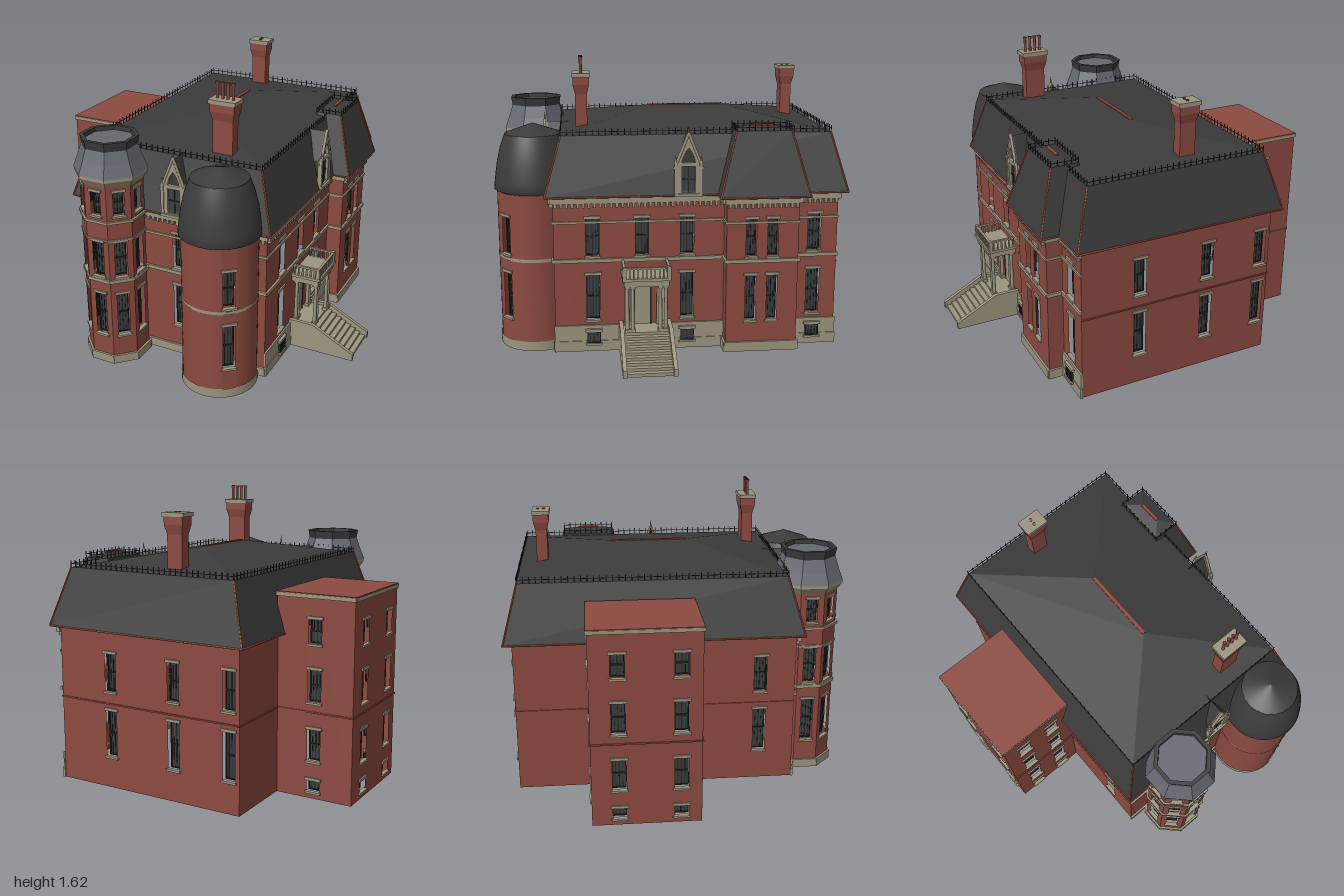
import * as THREE from 'three';
import { mergeGeometries } from 'three/addons/utils/BufferGeometryUtils.js';

const mat = (name, color, side = THREE.DoubleSide) => {
  const m = new THREE.MeshStandardMaterial({ color, side });
  m.name = name;
  return m;
};
const M = {
  brick: mat('brick', 0x8c4a40), stone: mat('stone', 0x9c957f), roof: mat('roof', 0x3b3b3b),
  slate: mat('slate', 0x666971), trim: mat('red trim', 0x9c4636), glass: mat('glass', 0x3c4041),
  frame: mat('dark frame', 0x242424),
};
const PI = Math.PI;

function add(parent, name, geo, material, x = 0, y = 0, z = 0) {
  const m = new THREE.Mesh(geo, material);
  m.name = name;
  m.position.set(x, y, z);
  parent.add(m);
  return m;
}
function group(parent, name, x = 0, y = 0, z = 0, ry = 0) {
  const g = new THREE.Group();
  g.name = name;
  g.position.set(x, y, z);
  g.rotation.y = ry;
  parent.add(g);
  return g;
}
// Many boxes in one mesh, each [cx, cy, cz, w, h, d]
function boxes(parent, name, material, list) {
  const geos = list.map(([x, y, z, w, h, d]) => new THREE.BoxGeometry(w, h, d).translate(x, y, z));
  return add(parent, name, mergeGeometries(geos), material);
}
// Flat-shaded skin over stacked closed loops of points
function loft(loops, cap = true) {
  const pos = [];
  const tri = (...p) => p.forEach(v => pos.push(...v));
  const n = loops[0].length;
  for (let k = 0; k + 1 < loops.length; k++)
    for (let i = 0; i < n; i++) {
      const j = (i + 1) % n, a = loops[k], b = loops[k + 1];
      tri(a[i], a[j], b[j]);
      tri(a[i], b[j], b[i]);
    }
  const t = loops[loops.length - 1];
  if (cap) for (let i = 1; i + 1 < n; i++) tri(t[0], t[i], t[i + 1]);
  const g = new THREE.BufferGeometry();
  g.setAttribute('position', new THREE.Float32BufferAttribute(pos, 3));
  g.computeVertexNormals();
  return g;
}
const rect = (x0, x1, z0, z1, y) => [[x0, y, z1], [x1, y, z1], [x1, y, z0], [x0, y, z0]];
const octagon = (apothem, y) => Array.from({ length: 8 }, (_, i) => {
  const a = (i + 0.5) * PI / 4, r = apothem / Math.cos(PI / 8);
  return [r * Math.sin(a), y, r * Math.cos(a)];
});
// Thin rod between two points
function bar(parent, name, a, b, r, material) {
  const p = new THREE.Vector3(...a), q = new THREE.Vector3(...b);
  add(parent, name, new THREE.TubeGeometry(new THREE.LineCurve3(p, q), 1, r, 5), material);
}

// Sash window at local x, from y0 to y1, with its pane at depth z
function addWindow(g, x, y0, y1, w, z = -0.03) {
  const h = y1 - y0, y = (y0 + y1) / 2, t = 0.006;
  const win = group(g, 'window', x, 0, 0);
  add(win, 'pane', new THREE.PlaneGeometry(w, h), M.glass, 0, y, z);
  const bars = [[0, y, z, t, h, t]];
  for (const s of [-1, 1]) {
    bars.push([s * (w - t) / 2, y, z, t, h, 0.012], [0, y + s * (h - t) / 2, z, w, t, 0.012]);
    bars.push([s * w * 0.25, y, z, 0.003, h, t]);
  }
  if (h > 0.1) bars.push([0, y, z, w, 0.009, 0.012]);
  boxes(win, 'sash', M.frame, bars);
  const f = Math.max(z, 0);
  boxes(win, 'sillAndLintel', M.stone,
    [[0, y0 - 0.006, f, w + 0.018, 0.012, 0.024], [0, y1 + 0.008, f, w + 0.02, 0.016, 0.016]]);
}
// Wall of width w standing on the ground: windows [x, y0, y1, w, proud], bands [y0, y1, thickness, material]
function wall(parent, name, w, h, x, z, ry, windows = [], bands = [], dentils = false) {
  const g = group(parent, name, x, 0, z, ry);
  const s = new THREE.Shape([[-w / 2, 0], [w / 2, 0], [w / 2, h], [-w / 2, h]].map(p => new THREE.Vector2(...p)));
  for (const [cx, y0, y1, ww, proud] of windows) {
    if (!proud) s.holes.push(new THREE.Path(
      [[cx - ww / 2, y0], [cx - ww / 2, y1], [cx + ww / 2, y1], [cx + ww / 2, y0]].map(p => new THREE.Vector2(...p))));
    addWindow(g, cx, y0, y1, ww, proud ? 0.018 : -0.03);
  }
  add(g, 'wallFace', new THREE.ShapeGeometry(s), M.brick);
  for (const [y0, y1, t, m] of bands)
    add(g, 'band', new THREE.BoxGeometry(w + t, y1 - y0, t), m || M.stone, 0, (y0 + y1) / 2, t / 2);
  if (dentils) {
    const n = Math.max(2, Math.round(w / 0.03));
    boxes(g, 'dentils', M.stone, Array.from({ length: n }, (_, i) => [(i + 0.5) / n * w - w / 2, 0.838, 0.01, 0.014, 0.025, 0.02]));
  }
  return g;
}
const LOW = [0.18, 0.44], UP = [0.55, 0.76];
const floors = (x, w) => [[x, ...LOW, w], [x, ...UP, w]];
const LINE = [[0.476, 0.484, 0.006, M.brick]];
const STRINGS = [[0.515, 0.535, 0.012], [0.735, 0.748, 0.008], [0.85, 0.88, 0.025]];
const PLINTH = [[0, 0.15, 0.01], [0, 0.06, 0.015]];

function buildHouse(root) {
  const g = group(root, 'mainHouse');
  wall(g, 'frontWall', 1.15, 0.88, 0.025, 0.65, 0, floors(0.045, 0.073), [[0, 0.05, 0.012], ...STRINGS], true);
  wall(g, 'backWall', 1.15, 0.88, 0.025, -0.93, PI,
    [-0.235, 0.175, 0.515].flatMap(x => floors(x, 0.07)), LINE);
  wall(g, 'leftFrontWall', 0.58, 0.88, -0.55, 0.36, -PI / 2, floors(0.09, 0.07), LINE);
  wall(g, 'leftBackWall', 0.41, 0.88, -0.55, -0.725, -PI / 2, [], LINE);
  const door = wall(g, 'entranceWall', 0.94, 0.88, 0.6, 0.18, PI / 2,
    [...floors(-0.257, 0.073), ...floors(0.265, 0.073), [0.015, ...UP, 0.073], [0.015, 0.385, 0.42, 0.09],
      [-0.257, 0.05, 0.115, 0.075, true], [0.265, 0.05, 0.115, 0.075, true]], [...PLINTH, ...STRINGS], true);
  boxes(door, 'door', M.stone, [[0.015, 0.265, 0.004, 0.085, 0.23, 0.008]]);
  boxes(door, 'doorFrame', M.frame, [-1, 1].map(s => [0.015 + s * 0.046, 0.275, 0.006, 0.007, 0.25, 0.012]));
  wall(g, 'rearRightWall', 0.24, 0.88, 0.6, -0.81, PI / 2,
    [...floors(-0.01, 0.073), [-0.01, 0.05, 0.115, 0.075, true]], [...PLINTH, ...STRINGS], true);
  // Projecting pavilion
  const pb = [[0, 0.055, 0.012], ...STRINGS];
  wall(g, 'pavilionWall', 0.4, 0.88, 0.69, -0.49, PI / 2, [...floors(-0.063, 0.058), ...floors(0.057, 0.058)], pb, true);
  wall(g, 'pavilionFrontSide', 0.09, 0.88, 0.645, -0.29, 0, [], pb);
  wall(g, 'pavilionBackSide', 0.09, 0.88, 0.645, -0.69, PI, [], pb);
}

function buildWing(root) {
  const g = group(root, 'sideWing');
  const col = x => [[x, 0.04, 0.1, 0.075], [x, 0.21, 0.385, 0.075], [x, 0.535, 0.71, 0.075], [x, 0.85, 0.98, 0.075]];
  const bands = [[1.09, 1.11, 0.008], ...LINE];
  wall(g, 'wingFront', 0.445, 1.11, -0.7675, 0.07, 0, [...col(-0.0975), ...col(0.0975)], bands);
  wall(g, 'wingBack', 0.445, 1.11, -0.7675, -0.52, PI, col(0), bands);
  wall(g, 'wingSide', 0.59, 1.11, -0.99, -0.225, -PI / 2, [...col(-0.145), ...col(0.185)], bands);
  add(g, 'wingRoof', new THREE.BoxGeometry(0.455, 0.008, 0.6), M.brick, -0.7675, 1.111, -0.225);
}

function buildRoofs(root) {
  const g = group(root, 'mansardRoof');
  const roof = (name, inner, eave, brk, ridge) => {
    add(g, name, loft([inner, eave, brk, ridge]), M.roof);
    for (let i = 0; i < 4; i++) {
      bar(g, 'hipTrim', eave[i], brk[i], 0.005, M.trim);
      bar(g, 'eaveTrim', eave[i], eave[(i + 1) % 4], 0.005, M.trim);
    }
    boxes(g, 'ridgeCap', M.trim, [[ridge[0][0], ridge[0][1], (ridge[0][2] + ridge[2][2]) / 2, 0.018, 0.008, ridge[0][2] - ridge[2][2]]]);
    // Iron cresting round the break line
    const list = [];
    for (let i = 0; i < 4; i++) {
      const a = brk[i], b = brk[(i + 1) % 4], dx = b[0] - a[0], dz = b[2] - a[2];
      const n = Math.round(Math.hypot(dx, dz) / 0.035), y = a[1];
      for (let k = 0; k < n; k++) list.push([a[0] + dx * k / n, y + 0.018, a[2] + dz * k / n, 0.004, 0.036, 0.004]);
      list.push([a[0] + dx / 2, y + 0.02, a[2] + dz / 2, Math.abs(dx) + 0.003, 0.003, Math.abs(dz) + 0.003]);
    }
    boxes(g, 'cresting', M.frame, list);
  };
  roof('mainRoof', rect(-0.55, 0.6, -0.93, 0.65, 0.878), rect(-0.592, 0.638, -0.976, 0.692, 0.888),
    rect(-0.495, 0.543, -0.89, 0.6, 1.21), rect(0.022, 0.022, -0.36, 0.08, 1.305));
  roof('pavilionRoof', rect(0.5, 0.69, -0.69, -0.29, 0.878), rect(0.48, 0.738, -0.742, -0.248, 0.888),
    rect(0.48, 0.635, -0.65, -0.345, 1.235), rect(0.56, 0.56, -0.56, -0.43, 1.26));
}

// Gothic dormer with a pointed stone gable
function buildDormer(root, x, z, ry) {
  const g = group(root, 'dormer', x, 0.885, z, ry);
  const outline = w => new THREE.Shape([[-w, 0], [w, 0], [w, 0.17], [0, 0.335], [-w, 0.17]].map(p => new THREE.Vector2(...p)));
  add(g, 'dormerBody', new THREE.ExtrudeGeometry(outline(0.06), { depth: 0.12, bevelEnabled: false }), M.roof, 0, 0, -0.13);
  const face = outline(0.066);
  face.holes.push(new THREE.Path([[-0.037, 0.02], [-0.037, 0.165], [0.037, 0.165], [0.037, 0.02]].map(p => new THREE.Vector2(...p))));
  const arch = new THREE.Path();
  arch.moveTo(-0.037, 0.185).quadraticCurveTo(-0.03, 0.23, 0, 0.265).quadraticCurveTo(0.03, 0.23, 0.037, 0.185).lineTo(-0.037, 0.185);
  face.holes.push(arch);
  add(g, 'dormerFront', new THREE.ExtrudeGeometry(face, { depth: 0.018, bevelEnabled: false }), M.stone, 0, 0, -0.01);
  add(g, 'dormerPane', new THREE.PlaneGeometry(0.074, 0.145), M.glass, 0, 0.0925, -0.006);
  boxes(g, 'dormerSash', M.frame, [[0, 0.0925, -0.004, 0.005, 0.145, 0.005], [0, 0.0925, -0.004, 0.074, 0.007, 0.005]]);
  for (const s of [-1, 1]) {
    bar(g, 'gableRake', [s * 0.078, 0.15, 0.004], [0, 0.345, 0.004], 0.009, M.stone);
    add(g, 'pinnacle', new THREE.ConeGeometry(0.011, 0.05, 6), M.stone, s * 0.07, 0.205, 0.004);
    boxes(g, 'pier', M.stone, [[s * 0.068, 0.09, 0, 0.018, 0.18, 0.026]]);
  }
  add(g, 'finial', new THREE.ConeGeometry(0.008, 0.06, 6), M.stone, 0, 0.365, 0.004);
  boxes(g, 'dormerSill', M.stone, [[0, 0.008, 0.004, 0.155, 0.016, 0.03]]);
}

function buildOctagonTower(root) {
  const g = group(root, 'octagonTower', -0.284, 0, 0.755);
  const ap = 0.163, w = 2 * ap * Math.tan(PI / 8);
  for (let k = 0; k < 8; k++) {
    const a = k * PI / 4, open = k < 3 || k > 5;
    wall(g, 'towerFace', w, 1.12, ap * Math.sin(a), ap * Math.cos(a), a,
      open ? [...floors(0, 0.068), [0, 0.92, 1.055, 0.06]] : [],
      [[0, 0.05, 0.012], [0.515, 0.535, 0.01], [0.77, 0.78, 0.006], [0.875, 0.89, 0.012]]);
  }
  add(g, 'towerCornice', loft([octagon(0.165, 1.09), octagon(0.188, 1.125), octagon(0.188, 1.142)]), M.stone);
  add(g, 'towerRoof', loft([octagon(0.19, 1.142), octagon(0.165, 1.21), octagon(0.143, 1.28)], false), M.slate);
  add(g, 'towerRim', loft([octagon(0.141, 1.275), octagon(0.15, 1.328), octagon(0.128, 1.328), octagon(0.126, 1.3)], false), M.roof);
  add(g, 'towerTop', loft([octagon(0.128, 1.3), octagon(0.127, 1.304)]), M.slate);
}

function buildRoundTower(root) {
  const g = group(root, 'roundTower', 0.375, 0, 0.752);
  const r = 0.207, a = 0.7, half = 0.2;
  const ring = (name, rad, y0, y1, m, gap) => add(g, name,
    new THREE.CylinderGeometry(rad, rad, y1 - y0, 48, 1, true, a + gap, 2 * PI - 2 * gap), m, 0, (y0 + y1) / 2, 0);
  ring('towerWall', r, 0, 0.9, M.brick, half);
  // Flat bay holding the windows
  const d = r * Math.cos(half);
  wall(g, 'windowBay', 2 * r * Math.sin(half), 0.9, d * Math.sin(a), d * Math.cos(a), a, floors(0, 0.066));
  ring('towerBase', r + 0.006, 0, 0.055, M.stone, 0);
  ring('towerBand', r + 0.004, 0.515, 0.533, M.stone, 0);
  const pts = [[0.205, 0.89], [0.222, 0.9], [0.217, 0.95], [0.204, 1.04], [0.183, 1.13], [0.155, 1.205]].map(p => new THREE.Vector2(...p));
  add(g, 'bellRoof', new THREE.LatheGeometry(pts, 48), M.roof);
  add(g, 'roofCone', new THREE.ConeGeometry(0.157, 0.057, 48), M.roof, 0, 1.232, 0);
}

function buildPorch(root) {
  const g = group(root, 'entrancePorch', 0, 0, 0.152);
  const cheek = new THREE.Shape([[0.6, 0], [0.995, 0], [0.995, 0.04], [0.745, 0.17], [0.6, 0.17]].map(p => new THREE.Vector2(...p)));
  for (const z of [-0.145, 0.123])
    add(g, 'stairCheek', new THREE.ExtrudeGeometry(cheek, { depth: 0.022, bevelEnabled: false }), M.stone, 0, 0, z);
  const steps = [[0.67, 0.075, 0, 0.14, 0.15, 0.25]];
  for (let i = 0; i < 8; i++) {
    const h = 0.134 - i * 0.0165;
    steps.push([0.755 + i * 0.0305, h / 2, 0, 0.031, h, 0.25]);
  }
  boxes(g, 'steps', M.stone, steps);
  for (const z of [-0.105, -0.075, 0.075, 0.105])
    for (const x of [0.625, 0.742]) {
      add(g, 'column', new THREE.CylinderGeometry(0.009, 0.011, 0.26, 12), M.stone, x, 0.29, z);
      boxes(g, 'columnBlocks', M.stone, [[x, 0.165, z, 0.028, 0.02, 0.028], [x, 0.415, z, 0.026, 0.02, 0.026]]);
    }
  boxes(g, 'canopy', M.stone, [[0.68, 0.435, 0, 0.16, 0.035, 0.245], [0.685, 0.459, 0, 0.175, 0.016, 0.265]]);
  const rail = [[0.76, 0.522, 0, 0.014, 0.01, 0.255]];
  for (let i = -5; i <= 5; i++) rail.push([0.76, 0.492, i * 0.023, 0.008, 0.052, 0.008]);
  for (const s of [-1, 1]) {
    rail.push([0.68, 0.522, s * 0.121, 0.16, 0.01, 0.014], [0.757, 0.498, s * 0.12, 0.022, 0.064, 0.022]);
    for (let i = 0; i < 6; i++) rail.push([0.615 + i * 0.024, 0.492, s * 0.121, 0.008, 0.052, 0.008]);
  }
  boxes(g, 'balustrade', M.stone, rail);
}

function buildChimney(root, x, z, w, d, potXZ, potHeight) {
  const g = group(root, 'chimney', x, 0, z);
  const r = (s, y) => rect(-w / 2 - s, w / 2 + s, -d / 2 - s, d / 2 + s, y);
  add(g, 'stack', loft([r(0, 1.15), r(0, 1.41), r(0.012, 1.46), r(0.012, 1.505)]), M.brick);
  boxes(g, 'chimneyCap', M.stone, [[0, 1.514, 0, w + 0.042, 0.022, d + 0.034]]);
  for (const [px, pz] of potXZ) {
    add(g, 'pot', new THREE.CylinderGeometry(0.008, 0.008, potHeight, 10, 1, true), M.brick, px, 1.525 + potHeight / 2, pz);
    add(g, 'potRim', new THREE.CylinderGeometry(0.012, 0.01, potHeight * 0.15, 10, 1, true), M.brick, px, 1.525 + potHeight * 0.92, pz);
  }
}

export function createModel() {
  const root = new THREE.Group();
  root.name = 'house';
  buildHouse(root);
  buildWing(root);
  buildRoofs(root);
  buildDormer(root, 0.069, 0.69, 0);
  buildDormer(root, 0.636, -0.085, PI / 2);
  buildOctagonTower(root);
  buildRoundTower(root);
  buildPorch(root);
  buildChimney(root, -0.08, -0.762, 0.092, 0.064, [[0, -0.016], [0, 0.016]], 0.004);
  buildChimney(root, 0.272, 0.482, 0.12, 0.066, [-1.5, -0.5, 0.5, 1.5].map(k => [k * 0.031, 0]), 0.09);
  return root;
}
